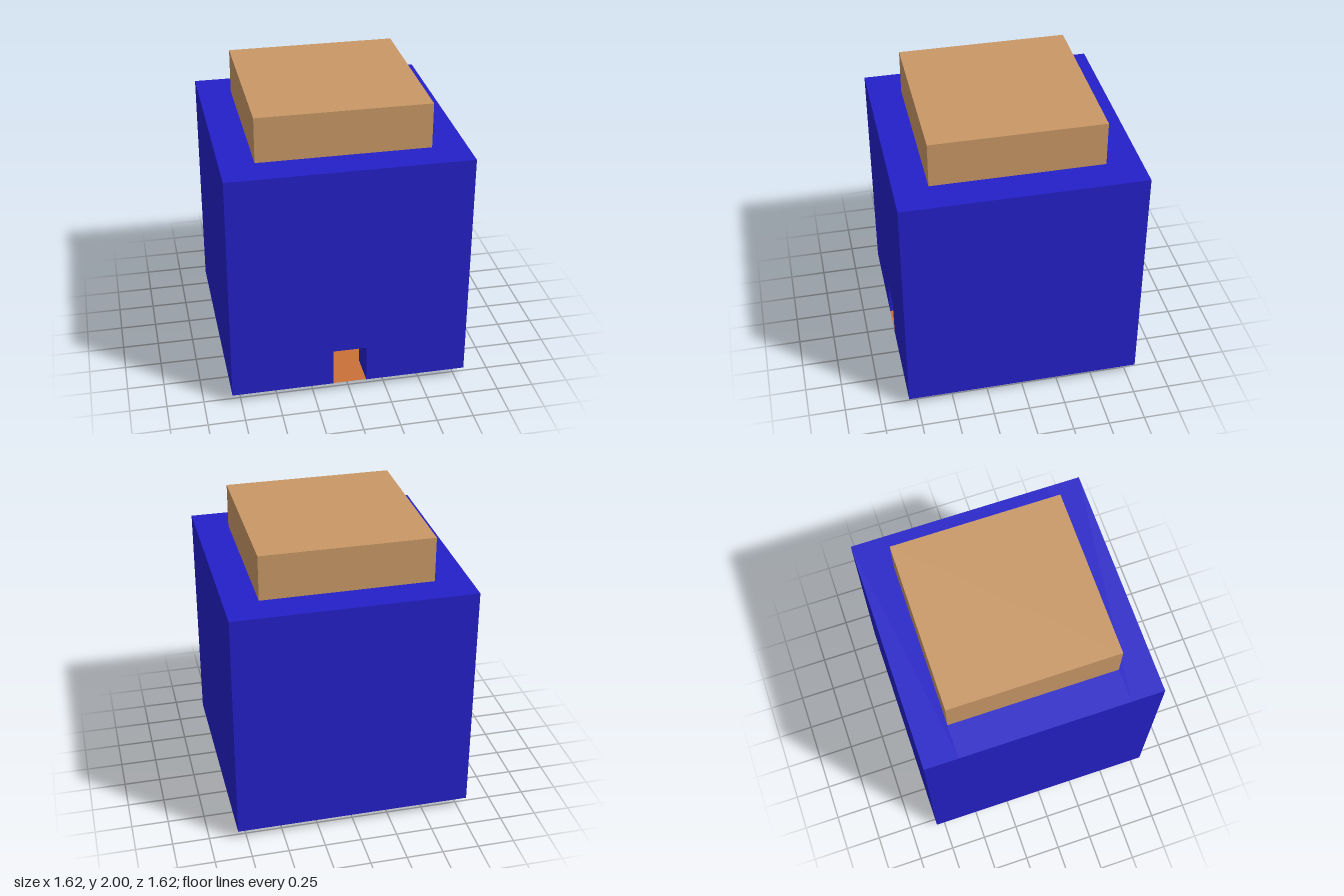
import * as THREE from 'three';

const OUT = 0.81, IN = 0.58, DOOR = 0.115;   // half widths
const Y0 = 0.07, Y1 = 1.69, DOOR_TOP = 0.335;

export function createModel() {
  const model = new THREE.Group();
  const blue = new THREE.MeshStandardMaterial({ color: 0x2420c8 });
  const tan = new THREE.MeshStandardMaterial({ color: 0xc99866 });
  const orange = new THREE.MeshStandardMaterial({ color: 0xc97038, side: THREE.DoubleSide });

  const add = (name, geometry, material, x, y, z) => {
    const mesh = new THREE.Mesh(geometry, material);
    mesh.name = name;
    mesh.position.set(x, y, z);
    model.add(mesh);
    return mesh;
  };
  const box = (name, material, w, d, y0, y1, x = 0, z = 0) =>
    add(name, new THREE.BoxGeometry(w, y1 - y0, d), material, x, (y0 + y1) / 2, z);

  const wall = OUT - IN, mid = (OUT + IN) / 2;

  // front wall with the doorway cut out of its lower edge
  const outline = new THREE.Shape([
    [-OUT, Y0], [-DOOR, Y0], [-DOOR, DOOR_TOP], [DOOR, DOOR_TOP],
    [DOOR, Y0], [OUT, Y0], [OUT, Y1], [-OUT, Y1],
  ].map(([x, y]) => new THREE.Vector2(x, y)));
  add('frontWall', new THREE.ExtrudeGeometry(outline, { depth: wall, bevelEnabled: false }), blue, 0, 0, IN);

  // remaining walls of the hollow body
  box('backWall', blue, 2 * OUT, wall, Y0, Y1, 0, -mid);
  box('leftWall', blue, wall, 2 * IN, Y0, Y1, mid, 0);
  box('rightWall', blue, wall, 2 * IN, Y0, Y1, -mid, 0);

  // base slab below and roof block above
  box('base', blue, 2 * IN, 2 * IN, 0, Y0);
  box('roof', tan, 2 * IN, 2 * IN, Y1, 2);

  // thin floor inside, continued through the doorway
  const floor = (name, w, d, z) =>
    add(name, new THREE.PlaneGeometry(w, d).rotateX(-Math.PI / 2), orange, 0, Y0 + 0.002, z);
  floor('floor', 2 * IN, 2 * IN, 0);
  floor('doorSill', 2 * DOOR, wall, mid);

  return model;
}
